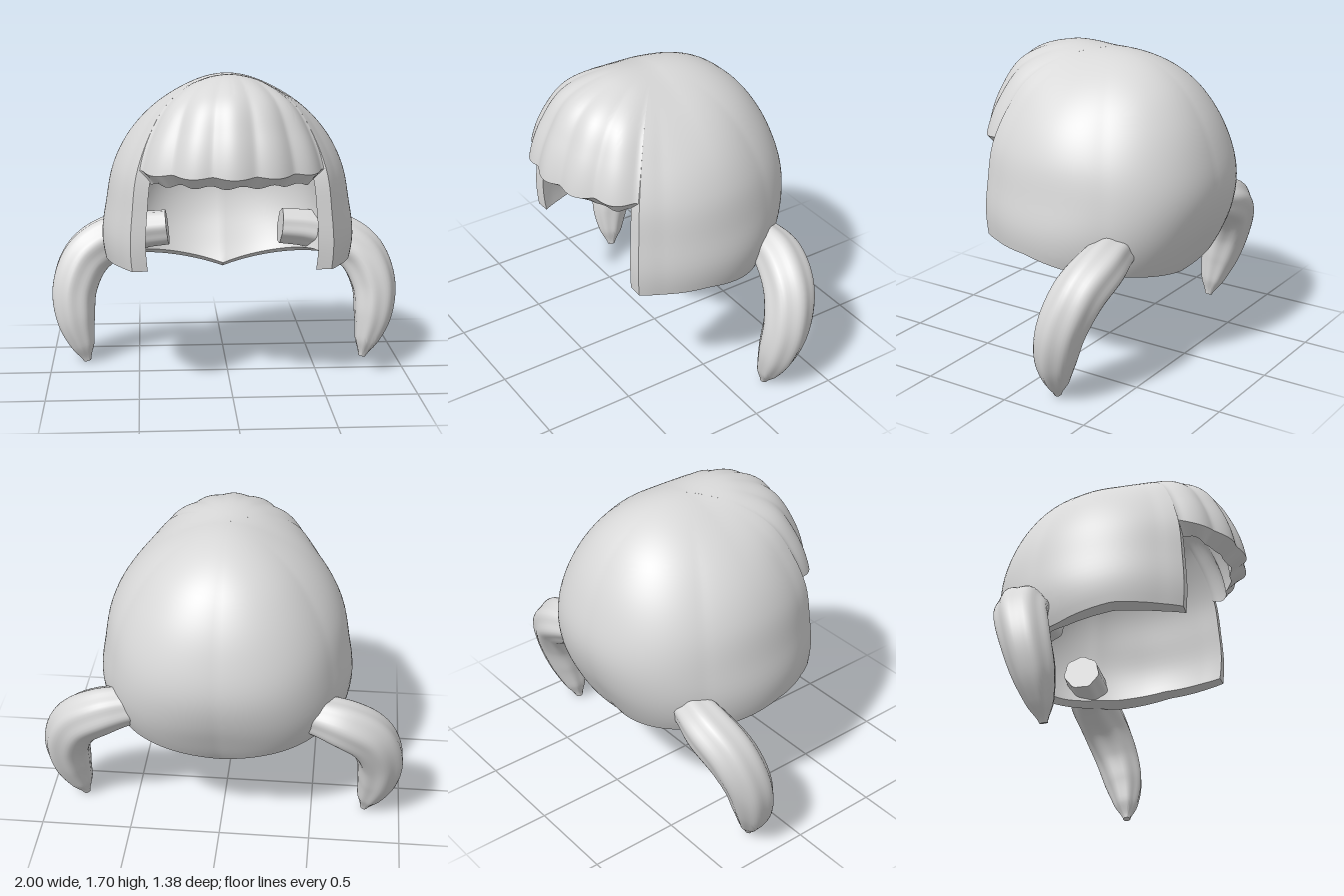
import * as THREE from 'three';
import { toCreasedNormals } from 'three/addons/utils/BufferGeometryUtils.js';

const { clamp, lerp, smoothstep } = THREE.MathUtils;
const EDGE = 0.87; // angle from the front where the face opening begins

// Distance from the head centre by polar angle (degrees from the top)
const ANGLES = [0, 24, 40, 55, 72, 90, 107, 120, 136];
const FRONT = [0.69, 0.755, 0.785, 0.75, 0.715, 0.68, 0.71, 0.78, 0.94];
const SIDE = [0.69, 0.665, 0.655, 0.652, 0.655, 0.665, 0.72, 0.75, 0.75];
const BACK = [0.69, 0.7, 0.698, 0.687, 0.68, 0.687, 0.677, 0.675, 0.7];

// Smooth interpolation through a table
function sample(table, phi) {
  const d = clamp(THREE.MathUtils.radToDeg(phi), 0, 136);
  let i = 0;
  while (i < ANGLES.length - 2 && d > ANGLES[i + 1]) i++;
  const slope = (k) => {
    const a = Math.max(k - 1, 0), b = Math.min(k + 1, ANGLES.length - 1);
    return k === 0 ? 0 : (table[b] - table[a]) / (ANGLES[b] - ANGLES[a]);
  };
  const h = ANGLES[i + 1] - ANGLES[i], t = (d - ANGLES[i]) / h;
  return table[i] * (1 + 2 * t) * (1 - t) ** 2 + slope(i) * h * t * (1 - t) ** 2
    + table[i + 1] * t * t * (3 - 2 * t) + slope(i + 1) * h * t * t * (t - 1);
}

// Rounded locks side by side across the fringe
const lock = (theta) => Math.sqrt(Math.cos(theta * 9.4) ** 2 + 0.03);

function radius(theta, phi, fringe) {
  const c = Math.cos(theta);
  let r = lerp(sample(SIDE, phi), sample(c > 0 ? FRONT : BACK, phi), c * c);
  const fade = smoothstep(phi, 0.25, 1.1);
  if (fringe) r += fade * (0.004 + 0.025 * (lock(theta) - 0.6));
  else {
    r += fade * 0.014 * (Math.abs(Math.sin(theta * 3)) - 0.6); // soft folds
    r += 0.02 * Math.sin(2 * theta) ** 2 * smoothstep(phi, 0.9, 1.7); // fuller at the corners
  }
  return r;
}

// Hair shell between two angles: outer skin, rim, inner skin and end walls
function shell(from, to, nu, fringe, bottomOuter, bottomInner) {
  const nv = 36, cols = 2 * nv + 2, pos = [], idx = [];
  for (let i = 0; i <= nu; i++) {
    const theta = lerp(from, to, i / nu);
    // Thick beside the face, thinner towards the back
    const away = Math.abs(Math.acos(Math.cos(theta)) - EDGE);
    const near = smoothstep(away, 0, 0.5), far = smoothstep(away, 0.8, 1.8);
    const xIn = lerp(0.85, fringe ? 0.88 : 0.935, fringe ? near : far);
    const yIn = lerp(0.92, fringe ? 0.92 : 0.94, far);
    const zIn = lerp(1, fringe ? 0.87 : 0.93, near);
    for (let j = 0; j < cols; j++) {
      const inner = j > nv, k = inner ? cols - 1 - j : j;
      const yScale = inner ? yIn : 1;
      const drop = ((inner ? bottomInner : bottomOuter)(theta) - 1) / yScale;
      let end = 1.5;
      for (let n = 0; n < 25; n++) end = Math.acos(clamp(drop / radius(theta, end, fringe), -1, 1));
      const phi = end * k / nv, r = radius(theta, phi, fringe);
      pos.push(
        r * Math.sin(phi) * Math.sin(theta) * (inner ? xIn : 1),
        1 + r * Math.cos(phi) * yScale,
        r * Math.sin(phi) * Math.cos(theta) * (inner ? zIn : 1));
    }
  }
  for (let i = 0; i < nu; i++) for (let j = 0; j < cols - 1; j++) {
    const a = i * cols + j, d = a + cols;
    idx.push(a, a + 1, d, a + 1, d + 1, d);
  }
  for (let j = 0; j < nv; j++) {
    const o = j, n = cols - 1 - j, e = nu * cols;
    idx.push(o, n, o + 1, o + 1, n, n - 1);
    idx.push(e + o, e + o + 1, e + n, e + o + 1, e + n - 1, e + n);
  }
  return finish(pos, idx, 0.7);
}

function finish(pos, idx, crease) {
  const g = new THREE.BufferGeometry();
  g.setAttribute('position', new THREE.Float32BufferAttribute(pos, 3));
  g.setIndex(idx);
  return toCreasedNormals(g, crease);
}

// Fluted, tapering tail swept along a curve; side is +1 or -1
function pigtail(side) {
  const path = [
    [0.33, 0.765, -0.35], [0.5, 0.745, -0.36], [0.66, 0.7, -0.37], [0.8, 0.6, -0.335],
    [0.872, 0.43, -0.28], [0.865, 0.25, -0.235], [0.825, 0.1, -0.21], [0.8, 0.01, -0.2]];
  const widths = [0.1, 0.108, 0.13, 0.135, 0.127, 0.108, 0.066, 0.02];
  const curve = new THREE.CatmullRomCurve3(path.map(([x, y, z]) => new THREE.Vector3(x * side, y, z)));
  const girth = new THREE.SplineCurve(widths.map((w, i) => new THREE.Vector2(i, w)));
  const rings = 48, sides = 48, pos = [], idx = [];
  for (let i = -1; i <= rings + 1; i++) {
    const t = clamp(i / rings, 0, 1);
    const p = curve.getPoint(t), tan = curve.getTangent(t);
    const across = new THREE.Vector3(0, 0, 1).cross(tan).normalize();
    const deep = tan.clone().cross(across);
    const r = i < 0 || i > rings ? 0 : girth.getPoint(t).y;
    for (let j = 0; j <= sides; j++) {
      const a = (j % sides) / sides * Math.PI * 2;
      const w = r * (1 + 0.04 * Math.cos(7 * a));
      const v = p.clone().addScaledVector(across, w * Math.cos(a)).addScaledVector(deep, w * Math.sin(a));
      pos.push(v.x, v.y, v.z);
    }
  }
  const row = sides + 1;
  for (let i = 0; i < rings + 2; i++) for (let j = 0; j < sides; j++) {
    const a = i * row + j, d = a + row;
    idx.push(a, a + 1, d, a + 1, d + 1, d);
  }
  return finish(pos, idx, 0.9);
}

export function createModel() {
  const group = new THREE.Group();
  const hair = new THREE.MeshStandardMaterial({ color: 0xd8d8d8 });
  hair.name = 'hairGrey';
  const add = (name, geometry) => {
    const mesh = new THREE.Mesh(geometry, hair);
    mesh.name = name;
    group.add(mesh);
  };

  // Level at the cheeks, dropping in a straight V to the nape
  const hem = (theta) => {
    const c = Math.cos(theta);
    if (c > 0.15) return 0.69;
    return c > -0.3 ? lerp(0.63, 0.69, (c + 0.3) / 0.45) : 0.5 + 0.136 * Math.abs(Math.sin(theta));
  };
  const innerHem = (theta) => hem(theta) + 0.025 * smoothstep(-Math.cos(theta), -0.3, 0.5);
  add('hairCap', shell(EDGE, Math.PI * 2 - EDGE, 110, false, hem, innerHem));

  // Scalloped fringe over the forehead
  const fringeHem = (t) => 1.23 - 0.015 * lock(t);
  add('fringe', shell(-EDGE, EDGE, 84, true, fringeHem, (t) => 1.16 + 0.008 * Math.sin(t * 23)));

  add('leftPigtail', pigtail(1));
  add('rightPigtail', pigtail(-1));
  return group;
}
